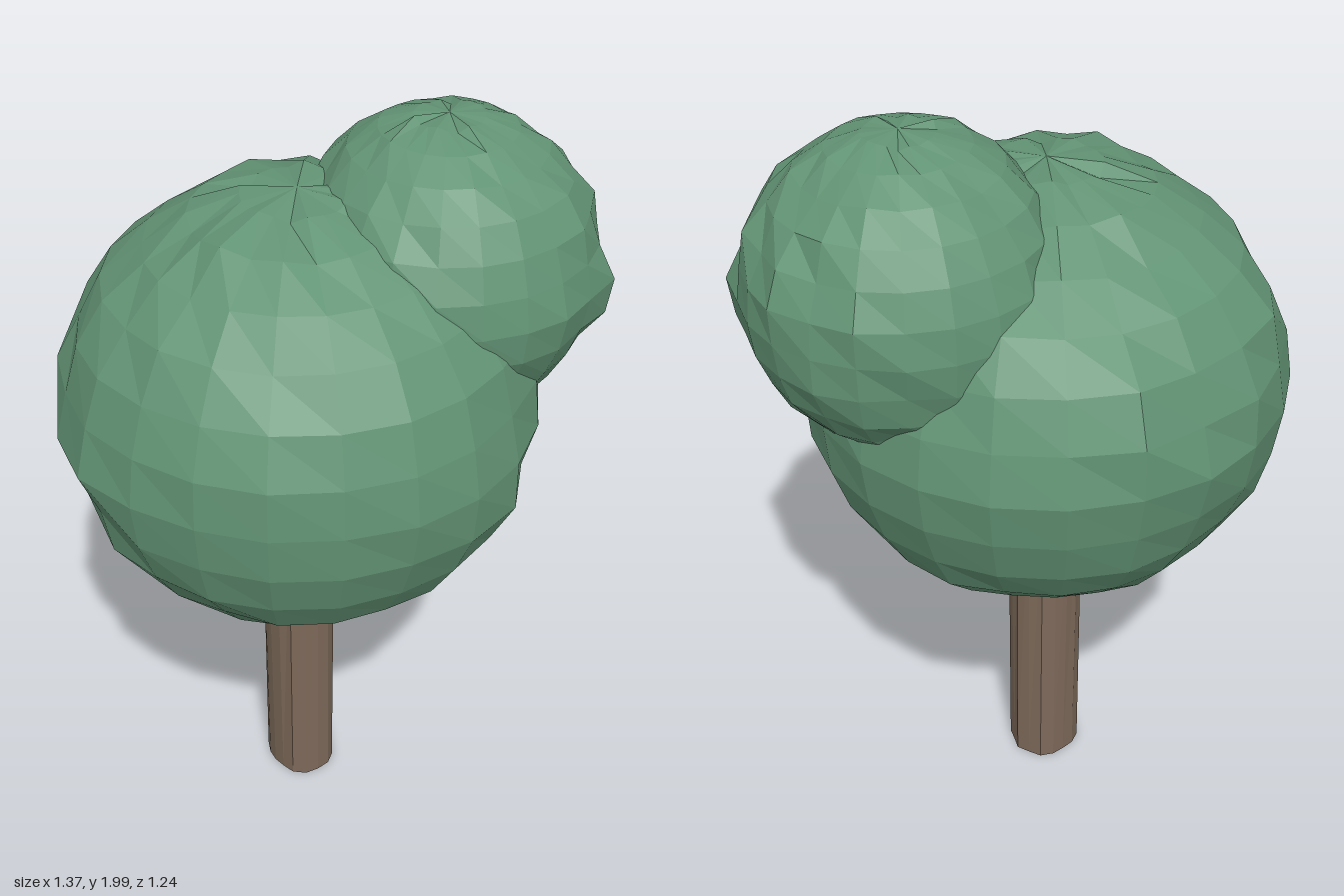
import * as THREE from 'three';

const leafGreen = new THREE.MeshStandardMaterial({ color: 0x639475 });
const barkBrown = new THREE.MeshStandardMaterial({ color: 0x7d6959 });
leafGreen.name = 'leafGreen';
barkBrown.name = 'barkBrown';
leafGreen.flatShading = barkBrown.flatShading = true;

// Repeatable noise in -1..1; coincident vertices get the same value
function noise(x, y, z, seed) {
  const r = (v) => Math.round(v * 1000);
  const s = Math.sin(r(x) * 0.129 + r(y) * 0.782 + r(z) * 0.377 + seed * 17.3) * 43758.5453;
  return (s - Math.floor(s)) * 2 - 1;
}

// Push every vertex by a displacement rule
function reshape(geometry, rule) {
  const p = geometry.attributes.position;
  const v = new THREE.Vector3();
  for (let i = 0; i < p.count; i++) {
    v.fromBufferAttribute(p, i);
    rule(v);
    p.setXYZ(i, v.x, v.y, v.z);
  }
  geometry.computeVertexNormals();
  return geometry;
}

// Faceted leaf ball: mostly even, with a few ragged points and optional tufts
function leafBall(name, center, radii, seed, tufts) {
  const geometry = reshape(new THREE.SphereGeometry(1, 22, 14), (v) => {
    const n = noise(v.x, v.y, v.z, seed);
    const ragged = 0.008 * n + 0.03 * n ** 5;
    const tufted = tufts.some((t) => v.distanceTo(t) < 0.16) ? 0.09 : 0;
    v.multiplyScalar(1 + ragged + tufted);
  });
  const mesh = new THREE.Mesh(geometry, leafGreen);
  mesh.name = name;
  mesh.position.set(...center);
  mesh.scale.set(...radii);
  return mesh;
}

export function createModel() {
  const tree = new THREE.Group();
  tree.name = 'tree';

  // Trunk: column with an uneven, slightly hollow foot; its top is hidden in the foliage
  const height = 0.9;
  const trunkGeometry = reshape(new THREE.CylinderGeometry(0.099, 0.099, height, 16, 1), (v) => {
    const foot = v.y < 0;
    const k = 1 + (foot ? 0.09 : 0.02) * (noise(v.x, 0, v.z, 3) - 0.3);
    if (foot && Math.hypot(v.x, v.z) < 0.01) v.y += 0.03;
    v.x *= k;
    v.z *= k;
  });
  const trunk = new THREE.Mesh(trunkGeometry, barkBrown);
  trunk.name = 'trunk';
  trunk.position.set(-0.08, height / 2, 0);
  tree.add(trunk);

  // Foliage: large crown and a smaller one up on the back left
  tree.add(leafBall('mainCrown', [-0.075, 1.28, 0], [0.613, 0.572, 0.622], 1, []));
  tree.add(leafBall('smallCrown', [0.245, 1.605, -0.19], [0.388, 0.39, 0.402], 2,
    [new THREE.Vector3(0.99, -0.1, 0.1)]));

  return tree;
}
